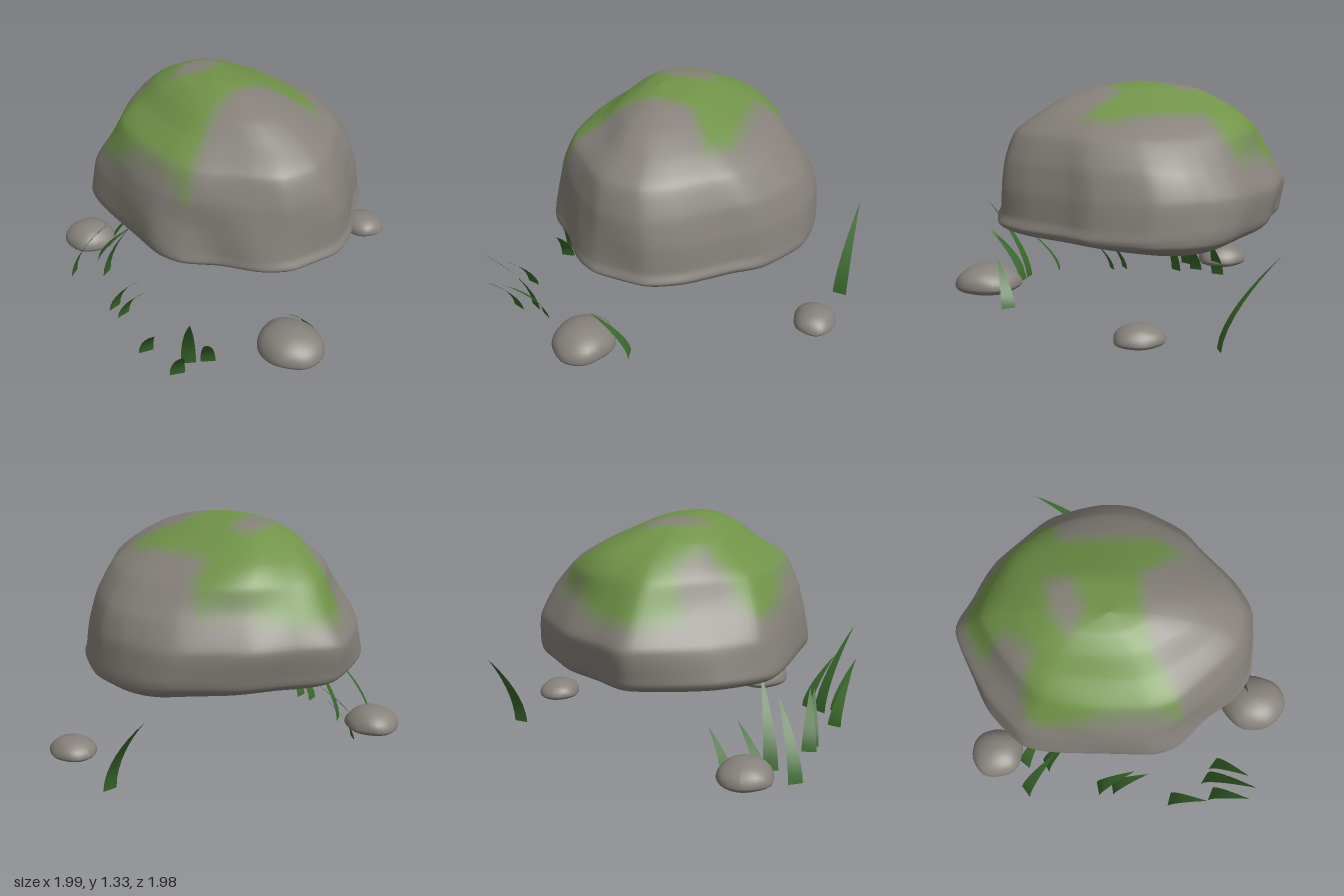
import * as THREE from 'three';

const STONE = new THREE.Color(0x86817a);
const MOSS = new THREE.Color(0x709348);
const GRASS = new THREE.Color(0x3a692c);
const material = (color, extra = {}) => new THREE.MeshStandardMaterial({ color, ...extra });
const points2 = list => list.map(([x, z]) => new THREE.Vector2(x, z));

// Plan of the boulder at its widest, clockwise from above
const PLAN = [[-1, 0], [-0.88, -0.22], [-0.72, -0.45], [-0.43, -0.69], [-0.26, -0.76], [-0.08, -0.78],
  [0.12, -0.74], [0.4, -0.57], [0.52, -0.42], [0.7, -0.2], [0.79, 0], [0.75, 0.28], [0.63, 0.43],
  [0.45, 0.56], [0.28, 0.69], [0.1, 0.74], [-0.3, 0.71], [-0.65, 0.66], [-0.87, 0.42]];

// Height, then the x and z limits of the boulder at that height
const LEVELS = [
  [0.4, -0.05, -0.05, 0, 0], [0.415, -0.42, 0.2, -0.46, 0.28], [0.45, -0.62, 0.42, -0.68, 0.5],
  [0.5, -0.85, 0.71, -0.77, 0.67], [0.54, -0.94, 0.78, -0.785, 0.735], [0.6, -0.965, 0.76, -0.785, 0.745],
  [0.75, -1, 0.745, -0.765, 0.725], [0.9, -0.91, 0.715, -0.695, 0.69], [1.05, -0.8, 0.65, -0.555, 0.61],
  [1.15, -0.68, 0.52, -0.39, 0.465], [1.24, -0.53, 0.36, -0.2, 0.36], [1.3, -0.38, 0.16, -0.06, 0.26],
  [1.33, -0.09, -0.09, 0.15, 0.15]];

// Moss outline seen from above, and the bare spot within it
const MOSS_EDGE = points2([[-1.02, 0.1], [-0.92, -0.2], [-0.65, -0.38], [-0.5, -0.53], [-0.39, -0.5],
  [-0.36, -0.37], [0.2, -0.37], [0.34, -0.25], [0.22, -0.17], [0.1, -0.1], [0.11, 0.15], [0.16, 0.35],
  [0.31, 0.64], [0.14, 0.63], [-0.1, 0.64], [-0.35, 0.66], [-0.6, 0.7], [-0.58, 0.48], [-0.51, 0.3],
  [-0.65, 0.2], [-0.9, 0.33]]);
const BARE_EDGE = points2([[-0.42, -0.07], [-0.31, -0.08], [-0.25, 0.1], [-0.3, 0.25], [-0.4, 0.12]]);

// Distance to a polygon's edge, positive inside
function insideDepth(p, polygon) {
  let inside = false, nearest = Infinity;
  polygon.forEach((a, i) => {
    const b = polygon[(i + 1) % polygon.length];
    const ab = b.clone().sub(a);
    const t = THREE.MathUtils.clamp(p.clone().sub(a).dot(ab) / ab.lengthSq(), 0, 1);
    nearest = Math.min(nearest, p.distanceTo(ab.multiplyScalar(t).add(a)));
    if ((a.y > p.y) !== (b.y > p.y) && p.x < a.x + (p.y - a.y) * (b.x - a.x) / (b.y - a.y)) inside = !inside;
  });
  return inside ? nearest : -nearest;
}

// Boulder skin from stacked loops, split into stone, fading moss and full moss
function makeBoulder() {
  const AROUND = 140, UP = 96, BANDS = 8;
  const curve = (list, closed) => new THREE.CatmullRomCurve3(list, closed, 'catmullrom', 0.35);
  const plan = curve(PLAN.map(([x, z]) => new THREE.Vector3((x + 1) / 0.895 - 1, 0, (z + 0.78) / 0.76 - 1)), true);
  const lows = curve(LEVELS.map(l => new THREE.Vector3(l[1], l[0], l[3])), false);
  const highs = curve(LEVELS.map(l => new THREE.Vector3(l[2], l[0], l[4])), false);
  const positions = [];
  for (let i = 0; i <= UP; i++) {
    const low = lows.getPoint(i / UP), high = highs.getPoint(i / UP), y = low.y;
    // Loops grow rounder towards the top
    const round = 0.6 * THREE.MathUtils.smoothstep(y, 0.8, 1.3);
    // The front right corner slopes in, the back right shoulder stands out
    const slope = 0.12 * Math.sin(Math.PI * THREE.MathUtils.clamp((y - 0.57) / 0.65, 0, 1));
    const shoulder = 0.22 * THREE.MathUtils.smoothstep(y, 0.9, 1.25);
    for (let j = 0; j < AROUND; j++) {
      const o = plan.getPoint(j / AROUND), size = o.length();
      const lobe = (x, z) => Math.pow(Math.max(0, (o.x * x + o.z * z) / size), 8);
      const k = (1 + round * (1 / size - 1)) * (1 - slope * lobe(-0.8, 0.6) + shoulder * lobe(-0.7, -0.71));
      const x = THREE.MathUtils.lerp(low.x, high.x, (o.x * k + 1) / 2);
      const z = THREE.MathUtils.lerp(low.z, high.z, (o.z * k + 1) / 2);
      // Shallow dents and lumps
      const lump = 1 + 0.009 * Math.sin(6 * x + 4 * y) * Math.sin(7 * z - 6 * y + 1)
        + 0.006 * Math.sin(10 * x - 8 * z + 9 * y);
      positions.push(x * lump, y, z * lump);
    }
  }
  const indices = Array.from({ length: BANDS + 1 }, () => []);
  const all = [];
  for (let i = 0; i < UP; i++) {
    for (let j = 0; j < AROUND; j++) {
      const a = i * AROUND + j, left = i * AROUND + (j + 1) % AROUND;
      const up = a + AROUND, upLeft = left + AROUND;
      const p = new THREE.Vector2(positions[3 * a], positions[3 * a + 2]);
      const depth = Math.min(insideDepth(p, MOSS_EDGE), -insideDepth(p, BARE_EDGE));
      const cover = THREE.MathUtils.smoothstep(depth, -0.06, 0.07)
        * THREE.MathUtils.smoothstep(positions[3 * a + 1], 0.78, 0.92);
      const faces = [a, up, left, left, up, upLeft];
      indices[Math.round(cover * BANDS)].push(...faces);
      all.push(...faces);
    }
  }
  const whole = new THREE.BufferGeometry();
  whole.setAttribute('position', new THREE.Float32BufferAttribute(positions, 3));
  whole.setIndex(all);
  whole.computeVertexNormals();
  const group = new THREE.Group();
  group.name = 'boulder';
  indices.forEach((index, band) => {
    const part = whole.clone().setIndex(index);
    const mesh = new THREE.Mesh(part, material(STONE.clone().lerp(MOSS, band / BANDS)));
    mesh.name = band === 0 ? 'boulderStone' : band === BANDS ? 'moss' : 'mossFade' + band;
    group.add(mesh);
  });
  return group;
}

// Small stone: domed above, nearly flat below
function makePebble(name, x, z, rx, rz, bottom, top, seed) {
  const geometry = new THREE.SphereGeometry(1, 32, 24);
  const p = geometry.attributes.position;
  const waist = bottom + (top - bottom) * 0.27;
  for (let i = 0; i < p.count; i++) {
    const v = new THREE.Vector3().fromBufferAttribute(p, i);
    const lump = 1 + 0.045 * Math.sin(4 * v.x + seed) * Math.cos(4 * v.z + 2 * v.y - seed);
    const height = v.y > 0 ? v.y * (top - waist) : Math.max(v.y * 1.3, -1) * (waist - bottom);
    p.setXYZ(i, v.x * rx * lump, waist + height, v.z * rz * lump);
  }
  geometry.computeVertexNormals();
  const mesh = new THREE.Mesh(geometry, material(STONE));
  mesh.name = name;
  mesh.position.set(x, 0, z);
  return mesh;
}

// Tapering blade that bends from its base towards its tip
function makeBlade(x, z, tipX, tipZ, height) {
  const geometry = new THREE.PlaneGeometry(1, 1, 1, 8);
  const p = geometry.attributes.position;
  const lean = new THREE.Vector2(tipX - x, tipZ - z);
  const side = new THREE.Vector2(lean.y, -lean.x).normalize().multiplyScalar(0.085);
  for (let i = 0; i < p.count; i++) {
    const t = p.getY(i) + 0.5, bend = Math.pow(t, 1.6), s = p.getX(i) * (1 - bend);
    p.setXYZ(i, x + lean.x * bend + side.x * s, height * t, z + lean.y * bend + side.y * s);
  }
  geometry.computeVertexNormals();
  const mesh = new THREE.Mesh(geometry, material(GRASS, { side: THREE.DoubleSide }));
  mesh.name = 'grassBlade';
  return mesh;
}

export function createModel() {
  const model = new THREE.Group();
  model.name = 'mossyBoulder';
  model.add(makeBoulder());

  // Pebbles around the boulder
  model.add(
    makePebble('rightPebble', -0.825, 0.58, 0.158, 0.152, 0.045, 0.19, 1),
    makePebble('leftPebble', 0.8, 0.345, 0.2, 0.175, 0.05, 0.22, 2.3),
    makePebble('backPebble', 0.205, -0.86, 0.139, 0.122, 0.04, 0.155, 4));

  // Grass: base x, base z, tip x, tip z, height
  const grass = new THREE.Group();
  grass.name = 'grass';
  [[-0.2, -0.953, -0.52, -0.995, 0.49],
    [-0.66, 0.815, -0.44, 0.67, 0.42], [-0.53, 0.66, -0.29, 0.55, 0.48],
    [-0.665, 0.64, -0.51, 0.465, 0.27], [-0.76, 0.48, -0.64, 0.335, 0.27],
    [-0.21, 0.82, 0.02, 0.785, 0.31], [-0.12, 0.82, 0.1, 0.8, 0.28],
    [0.23, 0.91, 0.44, 0.98, 0.28],
    [0.46, 0.79, 0.71, 0.96, 0.51], [0.49, 0.89, 0.69, 0.985, 0.3], [0.52, 0.7, 0.7, 0.85, 0.31],
    [0.72, 0.1, 0.75, 0.32, 0.27]].forEach(b => grass.add(makeBlade(...b)));
  model.add(grass);
  return model;
}
